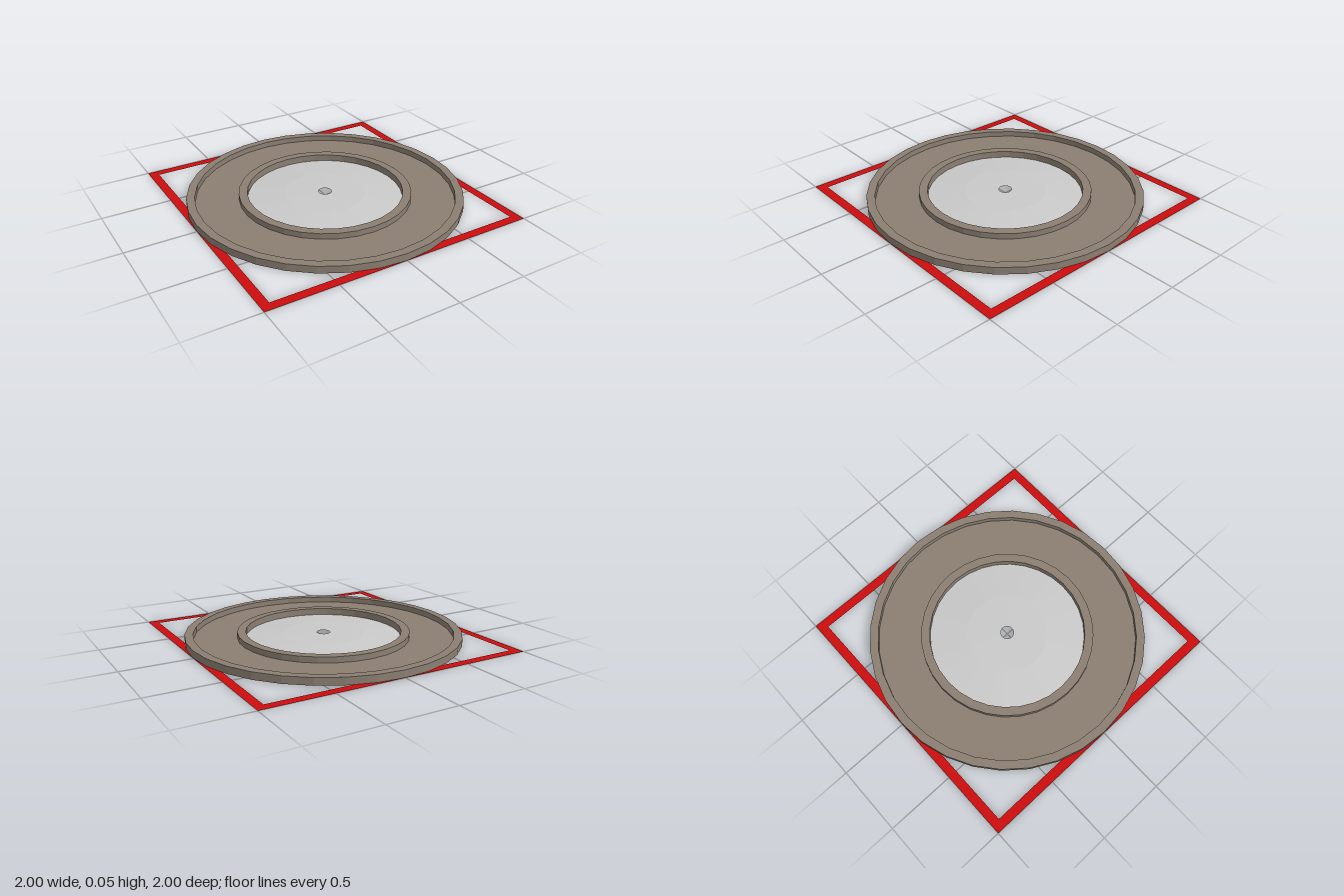
import * as THREE from 'three';

const SIDES = 32;

// Turn a profile of [radius, height] points into a faceted round part
function turned(points) {
  const lathe = new THREE.LatheGeometry(points.map(([r, y]) => new THREE.Vector2(r, y)), SIDES);
  const flat = lathe.toNonIndexed();
  flat.computeVertexNormals();
  return flat;
}

export function createModel() {
  const taupe = new THREE.MeshStandardMaterial({ color: 0x8b7f72 });
  taupe.name = 'taupe';
  const silver = new THREE.MeshStandardMaterial({ color: 0xc9c9c9, side: THREE.DoubleSide });
  silver.name = 'silver';
  const red = new THREE.MeshStandardMaterial({ color: 0xcc0d0d, side: THREE.DoubleSide });
  red.name = 'red';

  const group = new THREE.Group();
  const add = (name, geometry, material) => {
    const mesh = new THREE.Mesh(geometry, material);
    mesh.name = name;
    group.add(mesh);
    return mesh;
  };

  // Round tray: outer rim, sunken floor and inner rim in one closed profile
  const base = 0.001, floor = 0.011, top = 0.053;
  add('tray', turned([
    [0.565, base], [1, base], [1, top], [0.94, top], [0.94, floor],
    [0.627, floor], [0.627, top], [0.565, top], [0.565, base],
  ]), taupe);

  // Shallow dome with a hole in its middle
  add('dome', turned([[0.565, 0.003], [0.295, 0.027], [0.047, 0.03]]), silver);

  // Flat square frame lying on the ground
  const square = (h) => [[-h, -h], [h, -h], [h, h], [-h, h]].map(([x, y]) => new THREE.Vector2(x, y));
  const outline = new THREE.Shape(square(1));
  outline.holes.push(new THREE.Path(square(0.935)));
  add('squareFrame', new THREE.ShapeGeometry(outline).rotateX(-Math.PI / 2), red);

  return group;
}
